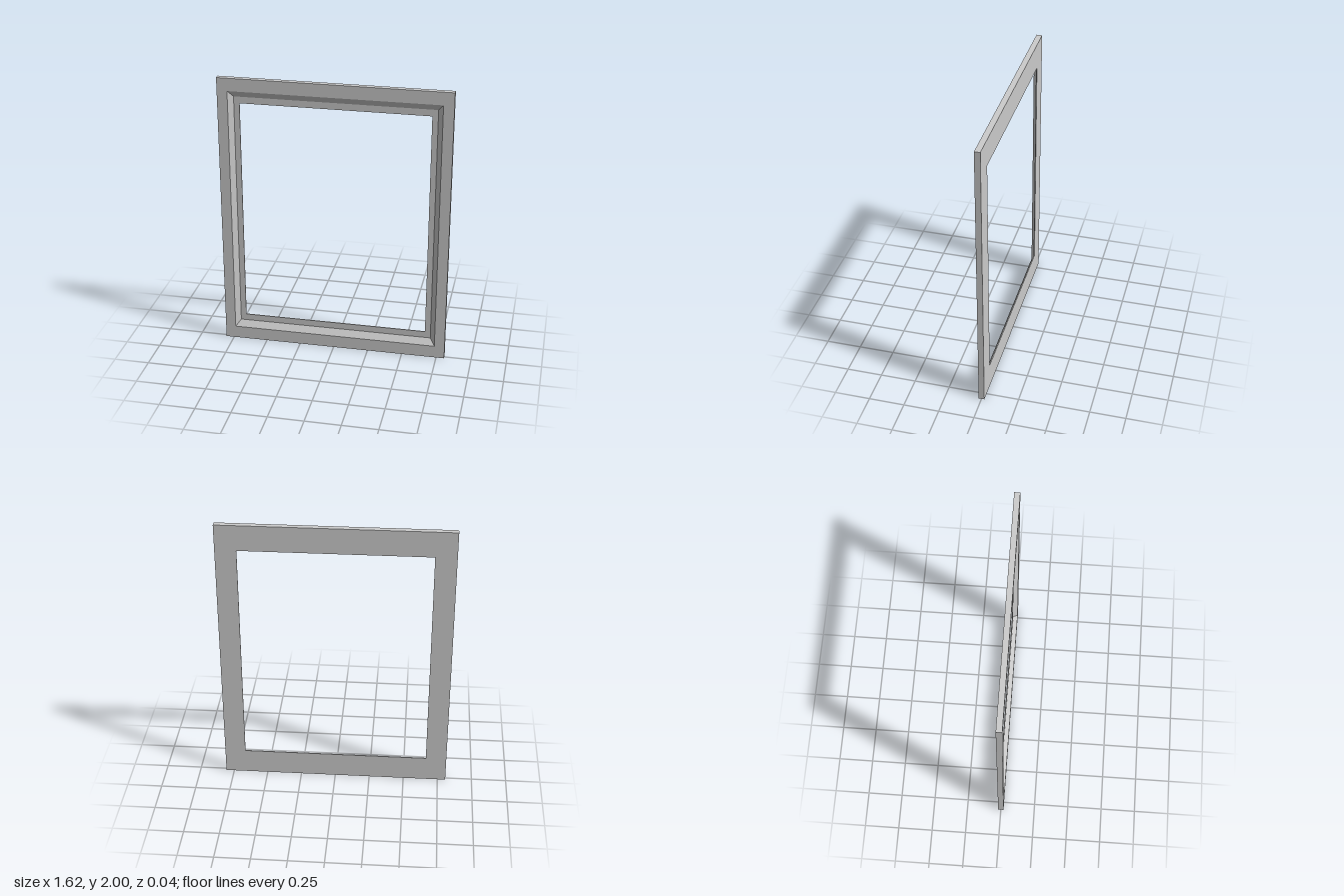
import * as THREE from 'three';

// Rectangular rings around the moulding profile: half width, half height, z
const PROFILE = [
  [0.808, 1.0, -0.02],    // outer edge, back
  [0.808, 1.0, 0.02],     // outer edge, front
  [0.735, 0.909, 0.02],   // top of the bevel
  [0.7, 0.863, -0.013],   // foot of the bevel
  [0.66, 0.816, -0.013],  // opening, front
  [0.66, 0.816, -0.02],   // opening, back
];
const CORNERS = [[-1, -1], [1, -1], [1, 1], [-1, 1]];

// Joins each ring to the next with four mitred quads, closing the loop
function mitredFrame(profile) {
  const positions = [];
  const point = (ring, corner) => {
    const [w, h, z] = profile[ring % profile.length];
    const [sx, sy] = CORNERS[corner % 4];
    return [sx * w, 1 + sy * h, z];
  };
  for (let r = 0; r < profile.length; r++) {
    for (let c = 0; c < 4; c++) {
      const a = point(r, c), b = point(r, c + 1);
      const d = point(r + 1, c), e = point(r + 1, c + 1);
      positions.push(...a, ...b, ...e, ...a, ...e, ...d);
    }
  }
  const geometry = new THREE.BufferGeometry();
  geometry.setAttribute('position', new THREE.Float32BufferAttribute(positions, 3));
  geometry.computeVertexNormals();
  return geometry;
}

export function createModel() {
  const group = new THREE.Group();
  group.name = 'pictureFrame';
  const material = new THREE.MeshStandardMaterial({ color: 0xcccccc, flatShading: true });
  const frame = new THREE.Mesh(mitredFrame(PROFILE), material);
  frame.name = 'frameMoulding';
  group.add(frame);
  return group;
}
